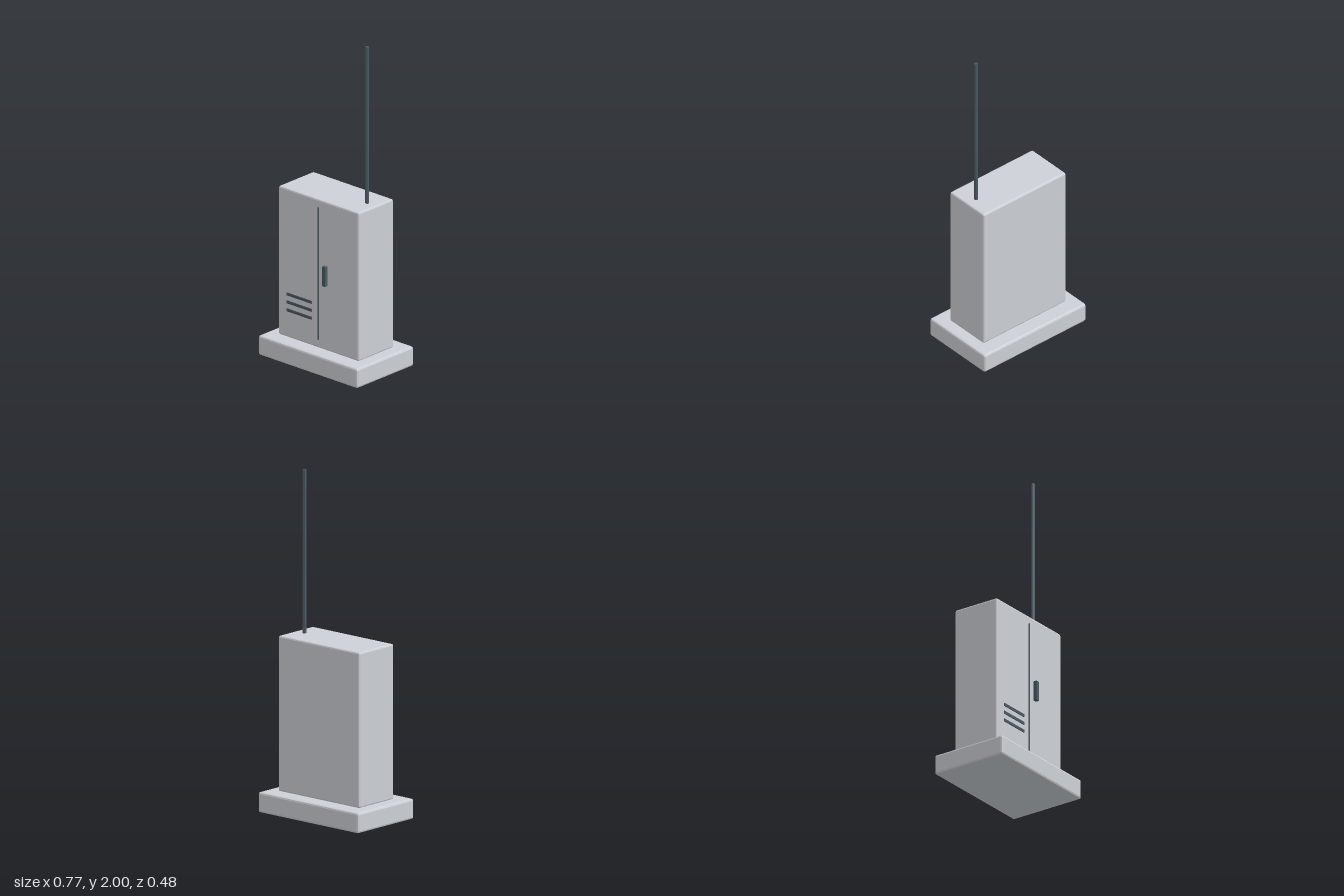
import * as THREE from 'three';
import { RoundedBoxGeometry } from 'three/addons/geometries/RoundedBoxGeometry.js';

export function createModel() {
  const model = new THREE.Group();
  model.name = 'utilityCabinet';

  const grey = new THREE.MeshStandardMaterial({ color: 0xcdd1d7, flatShading: true });
  grey.name = 'cabinet grey';
  const dark = new THREE.MeshStandardMaterial({ color: 0x4b5963, flatShading: true });
  dark.name = 'dark slate';

  const add = (name, geometry, material, x, y, z) => {
    const mesh = new THREE.Mesh(geometry, material);
    mesh.name = name;
    mesh.position.set(x, y, z);
    model.add(mesh);
    return mesh;
  };

  // Bevelled plinth and cabinet body
  add('plinth', new RoundedBoxGeometry(0.768, 0.12, 0.48, 1, 0.012), grey, 0, 0.06, 0);
  add('cabinetBody', new RoundedBoxGeometry(0.622, 0.916, 0.296, 1, 0.01), grey, 0, 0.578, 0);

  // Plates fixed to the front, sunk slightly into the body
  const front = 0.146;
  const frontPlate = (name, x, y, width, height, reach) =>
    add(name, new THREE.BoxGeometry(width, height, reach - front), dark, x, y, (front + reach) / 2);

  frontPlate('doorSeam', 0, 0.58, 0.008, 0.816, 0.153);
  frontPlate('doorHandle', 0.057, 0.581, 0.024, 0.12, 0.168);
  for (let i = 0; i < 3; i++) {
    frontPlate('ventSlot' + (i + 1), -0.146, 0.29 + i * 0.049, 0.194, 0.017, 0.153);
  }

  // Hexagonal antenna on the roof
  add('antenna', new THREE.CylinderGeometry(0.012, 0.012, 0.97, 6), dark, 0.241, 1.515, 0);

  return model;
}
